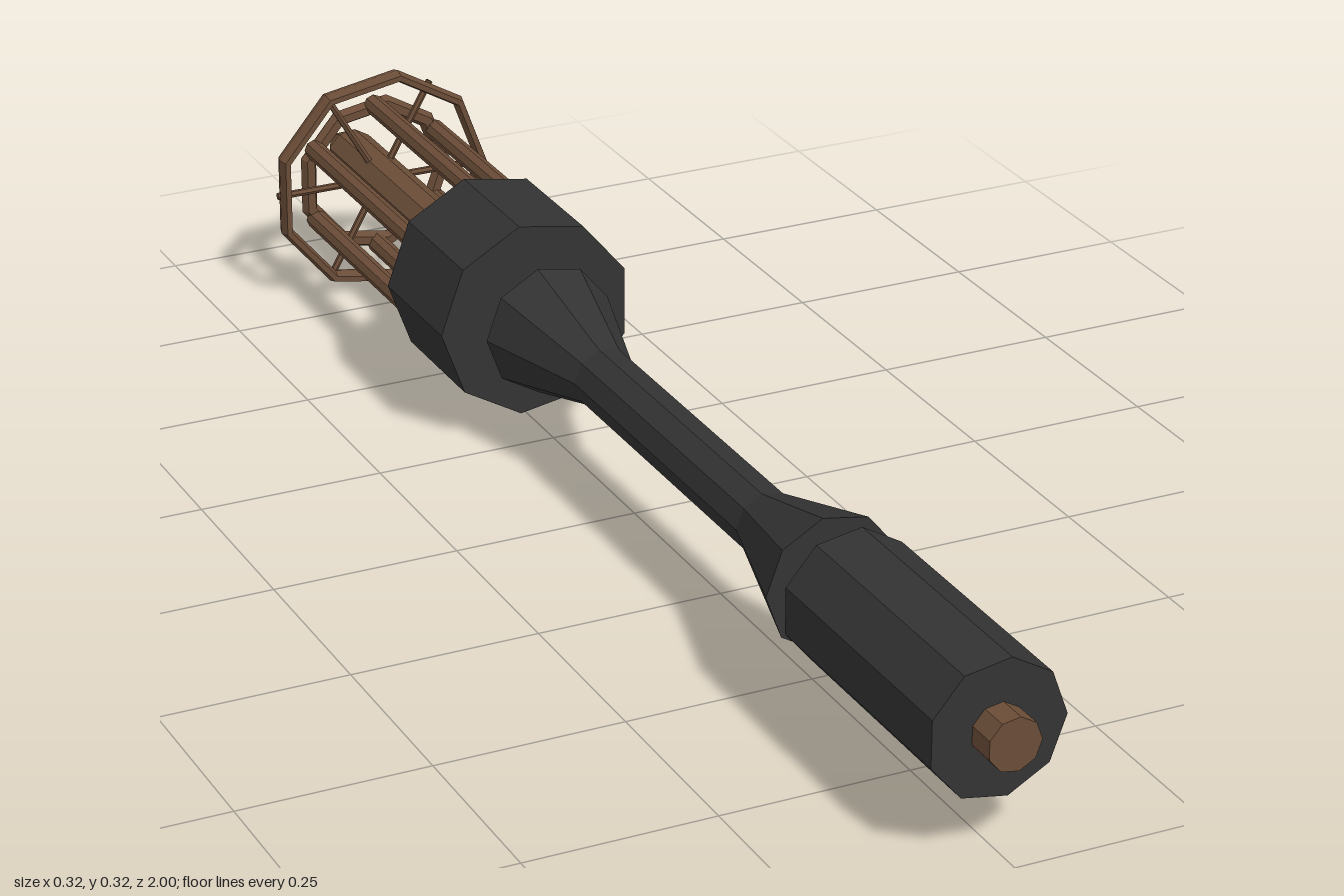
import * as THREE from 'three';

export function createModel() {
  const model = new THREE.Group();
  const axis = new THREE.Group();
  axis.name = 'staffAxis';
  axis.position.set(-0.005, 0.161, 0);
  model.add(axis);

  const dark = new THREE.MeshStandardMaterial({ color: 0x333333, flatShading: true });
  const brown = new THREE.MeshStandardMaterial({ color: 0x6b4d38, flatShading: true });

  const add = (name, geometry, material) => {
    const mesh = new THREE.Mesh(geometry, material);
    mesh.name = name;
    axis.add(mesh);
    return mesh;
  };

  // Nine-sided section along z; side is the x direction its first corner points to
  const section = (name, zFront, zBack, rFront, rBack, material, side = -1, sides = 9) => {
    const g = new THREE.CylinderGeometry(rFront, rBack, zFront - zBack, sides, 1, false, side * Math.PI / 2);
    g.rotateX(Math.PI / 2);
    const mesh = add(name, g, material);
    mesh.position.z = (zFront + zBack) / 2;
    return mesh;
  };

  // Wooden core and its pointed tip
  section('core', 1, -0.925, 0.035, 0.035, brown, 1);
  section('tip', -0.925, -1, 0.035, 0, brown, 1);

  // Dark handle, flared grip and drum
  section('handle', 0.96, 0.6, 0.09, 0.09, dark, 1);
  section('frontFlare', 0.56, 0.385, 0.09, 0.042, dark);
  section('shaft', 0.385, -0.08, 0.042, 0.042, dark);
  section('rearFlare', -0.08, -0.25, 0.042, 0.09, dark);
  section('drum', -0.29, -0.47, 0.137, 0.137, dark);

  // Cage rods and the spokes between them
  for (let i = 0; i < 6; i++) {
    const a = i * Math.PI / 3;
    const rod = section('cageRod', -0.46, -0.84, 0.014, 0.014, brown, 1, 8);
    rod.position.x = 0.105 * Math.cos(a + Math.PI / 6);
    rod.position.y = 0.105 * Math.sin(a + Math.PI / 6);

    const spoke = add('spoke', new THREE.CylinderGeometry(0.005, 0.005, 0.13, 6), brown);
    spoke.position.set(0.09 * Math.cos(a), 0.09 * Math.sin(a), -0.82);
    spoke.rotation.z = a - Math.PI / 2;
  }

  // End rings of the cage
  const outer = add('outerRing', new THREE.TorusGeometry(0.154, 0.008, 6, 9), brown);
  outer.scale.z = 2;
  outer.position.z = -0.816;
  const inner = add('innerRing', new THREE.TorusGeometry(0.105, 0.012, 6, 9), brown);
  inner.position.z = -0.842;

  return model;
}
